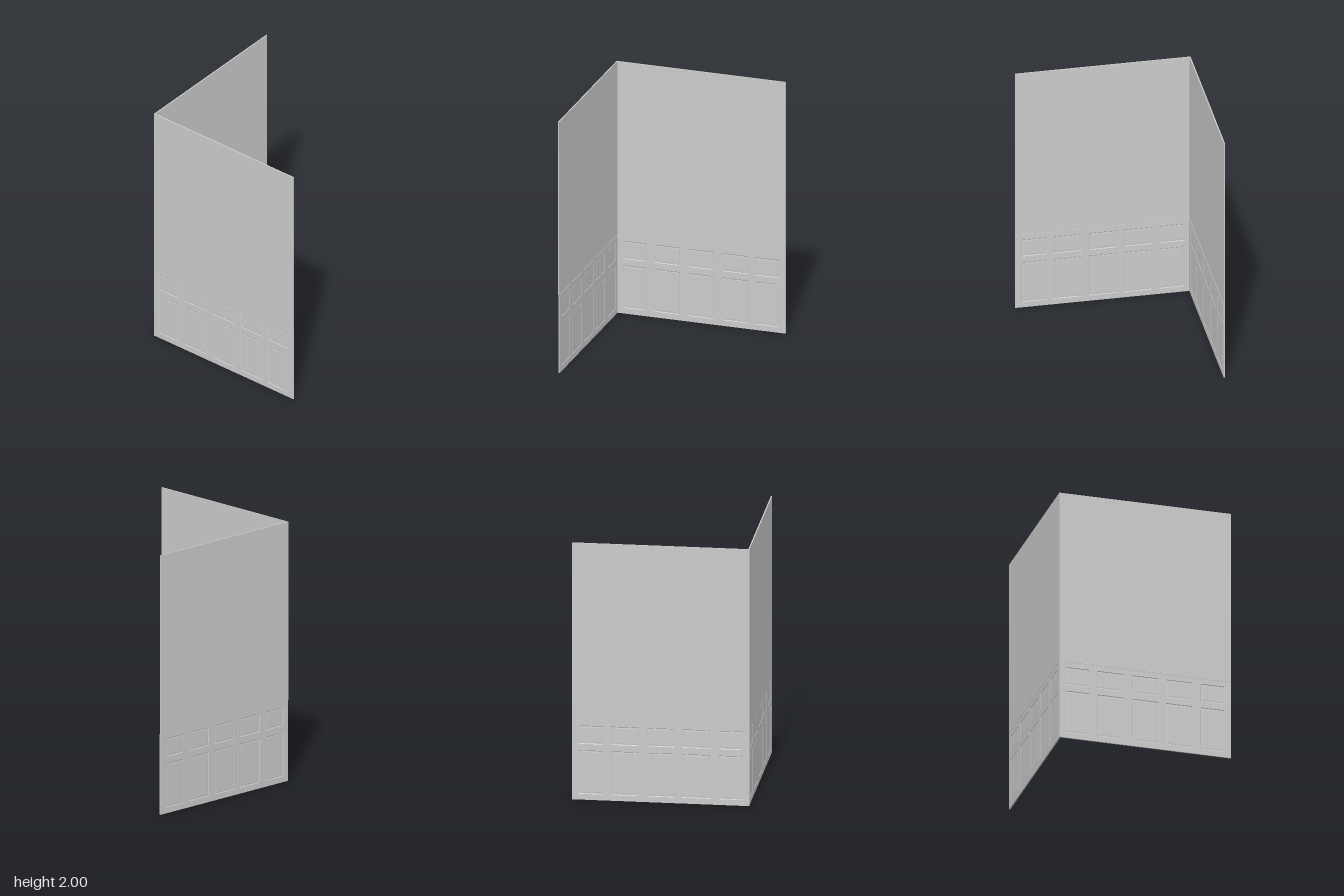
import * as THREE from 'three';

const HALF = 0.665, RAIL = 0.62;
const material = new THREE.MeshStandardMaterial({ color: 0xcccccc, flatShading: true });

// Panel openings: [left, right] columns and [bottom, top] rows
const COLUMNS = [[-0.615, -0.43], [-0.37, -0.163], [-0.103, 0.103], [0.163, 0.37], [0.43, 0.615]];
const ROWS = [[0.045, 0.385], [0.435, 0.578]];

// Wainscot thickness: inner face towards the room, outer face behind
const INNER = -0.653, OUTER = -0.663;

function add(parent, name, geometry) {
  const mesh = new THREE.Mesh(geometry, material);
  mesh.name = name;
  parent.add(mesh);
  return mesh;
}

function rectangle(x0, x1, y0, y1, Type = THREE.Shape) {
  return new Type([[x0, y0], [x1, y0], [x1, y1], [x0, y1]].map(p => new THREE.Vector2(...p)));
}

// Sunk panel: rectangular loops stepping inwards as [inset, depth], closed by a flat field
function sunkPanel(width, height) {
  const loops = [[0, 0], [0.004, -0.003], [0.01, -0.003], [0.014, -0.002]];
  const positions = [], index = [];
  loops.forEach(([inset, depth], k) => {
    const w = width / 2 - inset, h = height / 2 - inset;
    positions.push(-w, -h, depth, w, -h, depth, w, h, depth, -w, h, depth);
    if (k === 0) return;
    for (let i = 0; i < 4; i++) {
      const j = (i + 1) % 4, a = (k - 1) * 4, b = k * 4;
      index.push(a + i, a + j, b + j, a + i, b + j, b + i);
    }
  });
  const last = (loops.length - 1) * 4;
  index.push(last, last + 1, last + 2, last, last + 2, last + 3);
  const geometry = new THREE.BufferGeometry();
  geometry.setAttribute('position', new THREE.Float32BufferAttribute(positions, 3));
  geometry.setIndex(index);
  const flat = geometry.toNonIndexed();
  flat.computeVertexNormals();
  return flat;
}

function createWall(name) {
  const wall = new THREE.Group();
  wall.name = name;

  // Plain upper wall, set slightly proud of the wainscot on the outside
  const upper = new THREE.BoxGeometry(2 * HALF, 2 - RAIL, 0.009);
  add(wall, 'upperWall', upper).position.set(0, (2 + RAIL) / 2, -HALF + 0.0045);

  // Stiles and rails as one frame with openings
  const frame = rectangle(-HALF, HALF, 0, RAIL);
  for (const [x0, x1] of COLUMNS)
    for (const [y0, y1] of ROWS) frame.holes.push(rectangle(x0, x1, y0, y1, THREE.Path));
  const frameGeometry = new THREE.ExtrudeGeometry(frame, { depth: INNER - OUTER, bevelEnabled: false });
  add(wall, 'wainscotFrame', frameGeometry).position.z = OUTER;

  // Sunk panels on both faces
  for (const [x0, x1] of COLUMNS) {
    for (const [y0, y1] of ROWS) {
      const geometry = sunkPanel(x1 - x0, y1 - y0);
      const x = (x0 + x1) / 2, y = (y0 + y1) / 2;
      add(wall, 'innerPanel', geometry).position.set(x, y, INNER);
      const outer = add(wall, 'outerPanel', geometry);
      outer.position.set(x, y, OUTER);
      outer.rotation.y = Math.PI;
    }
  }
  return wall;
}

export function createModel() {
  const model = new THREE.Group();
  model.name = 'panelledCorner';
  const back = createWall('backWall');
  const side = createWall('sideWall');
  side.rotation.y = Math.PI / 2;
  model.add(back, side);
  return model;
}
